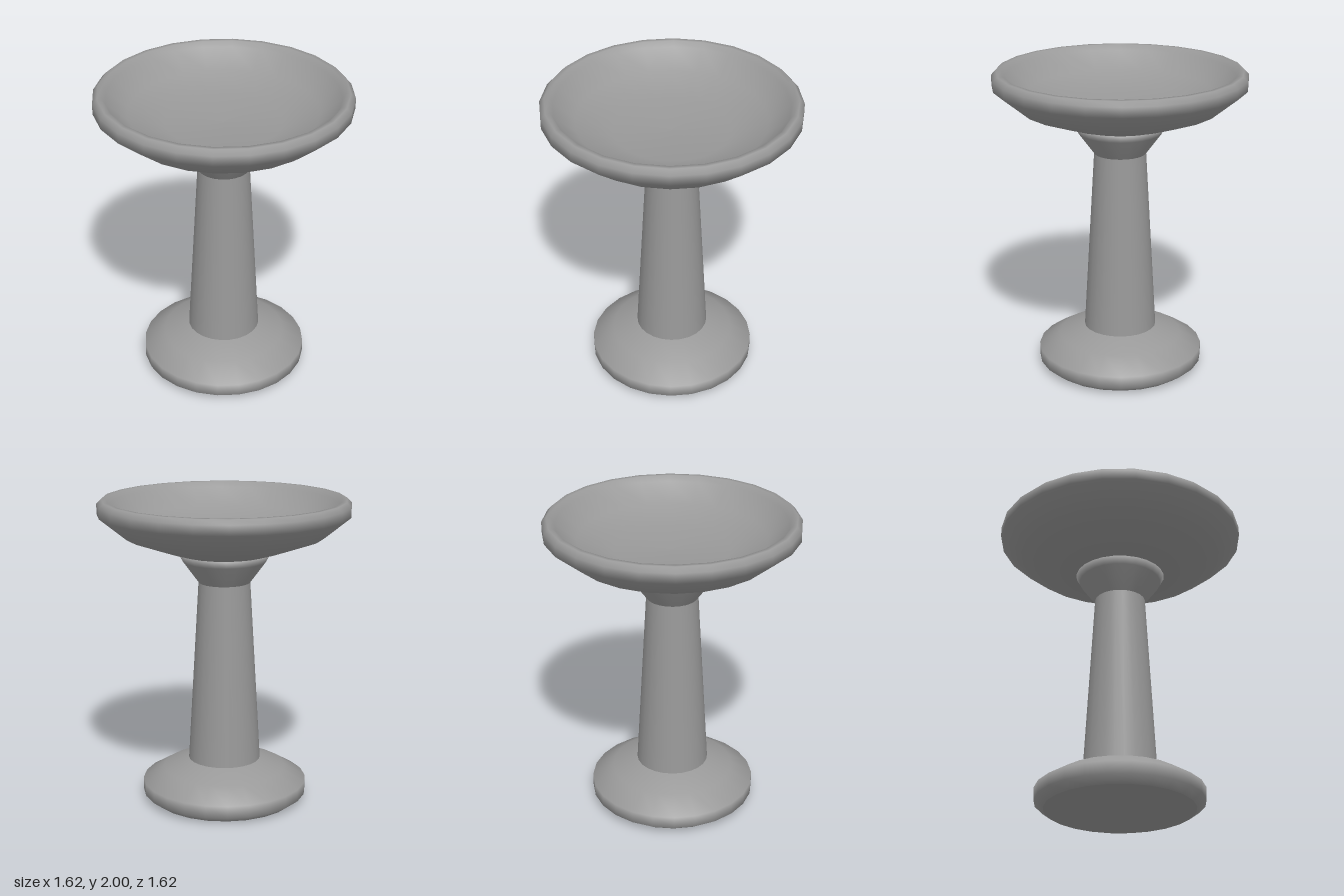
import * as THREE from 'three';

const SIDES = 24;

export function createModel() {
  const group = new THREE.Group();
  group.name = 'pedestalBasin';

  const stone = new THREE.MeshStandardMaterial({ color: 0x999999 });
  stone.name = 'grey stone';

  // Turns a [radius, height] profile, listed from the bottom outside upwards
  const turn = (name, profile) => {
    const points = profile.map(([r, y]) => new THREE.Vector2(r, y));
    const mesh = new THREE.Mesh(new THREE.LatheGeometry(points, SIDES), stone);
    mesh.name = name;
    group.add(mesh);
  };

  // Flat underside, kept separate for a crisp bottom edge
  turn('footUnderside', [[0, 0], [0.48, 0]]);

  // Rounded foot
  turn('foot', [[0.48, 0], [0.54, 0.045], [0.54, 0.125], [0.4, 0.21], [0.235, 0.27], [0.15, 0.285]]);

  // Tapered column
  turn('column', [[0.236, 0.265], [0.167, 1.46]]);

  // Flared collar under the bowl
  turn('collar', [[0.167, 1.46], [0.27, 1.6], [0.295, 1.645], [0.24, 1.66]]);

  // Outside of the bowl, over the rim and down into the basin
  turn('bowl', [
    [0, 1.65], [0.295, 1.65], [0.41, 1.685], [0.64, 1.767], [0.81, 1.905], [0.81, 1.97],
    [0.78, 2], [0.75, 2], [0.73, 1.965], [0.6, 1.855], [0.37, 1.785], [0, 1.775],
  ]);

  return group;
}
